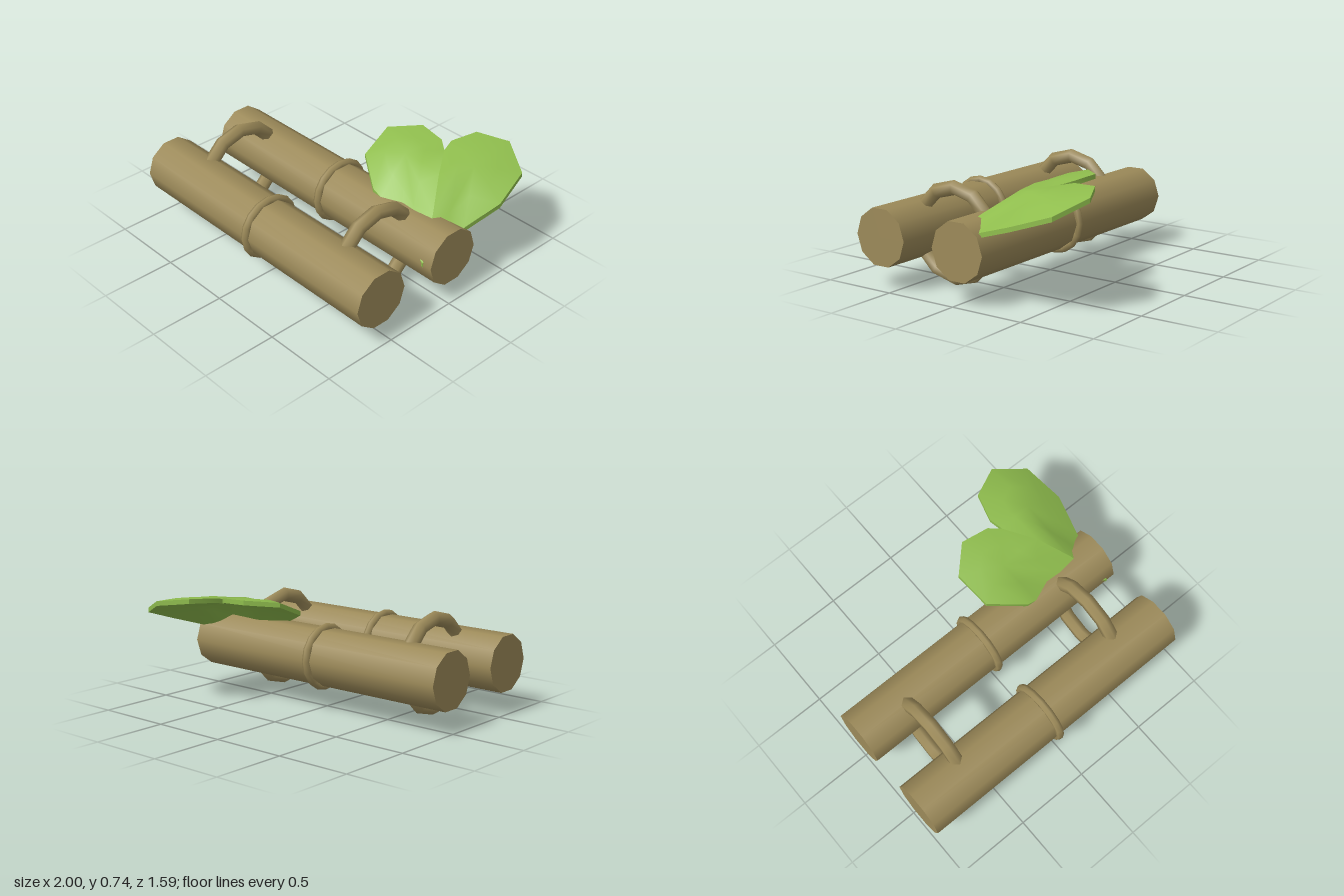
import * as THREE from 'three';
import { toCreasedNormals } from 'three/addons/utils/BufferGeometryUtils.js';

const LOG_Y = 0.345;

// Thin domed leaf: rim points run counter-clockwise seen from above
function leafGeometry(rim, centre) {
  const c = new THREE.Vector3(...centre);
  const edge = rim.map(p => new THREE.Vector3(...p));
  const mid = edge.map(p => {
    const m = p.clone().lerp(c, 0.5);
    m.y += 0.01;
    return m;
  });
  const drop = (p, d) => new THREE.Vector3(p.x, p.y - d, p.z);
  const pos = [];
  const tri = (a, b, d) => [a, b, d].forEach(p => pos.push(p.x, p.y, p.z));
  const n = edge.length;
  const low = edge.map(p => drop(p, 0.03));
  const lowMid = mid.map(p => drop(p, 0.055));
  const lowC = drop(c, 0.06);
  for (let i = 0; i < n; i++) {
    const j = (i + 1) % n;
    // upper side
    tri(c, mid[i], mid[j]);
    tri(mid[i], edge[i], edge[j]);
    tri(mid[i], edge[j], mid[j]);
    // under side
    tri(lowC, lowMid[j], lowMid[i]);
    tri(lowMid[i], low[j], low[i]);
    tri(lowMid[i], lowMid[j], low[j]);
    // rim
    tri(edge[i], low[i], low[j]);
    tri(edge[i], low[j], edge[j]);
  }
  const g = new THREE.BufferGeometry();
  g.setAttribute('position', new THREE.Float32BufferAttribute(pos, 3));
  return toCreasedNormals(g, 0.7);
}

export function createModel() {
  const group = new THREE.Group();
  const wood = new THREE.MeshStandardMaterial({ color: 0x9c8a59 });
  wood.name = 'bamboo tan';
  const green = new THREE.MeshStandardMaterial({ color: 0x8fbd4d });
  green.name = 'leaf green';

  const add = (name, geometry, material, x = 0, y = 0, z = 0) => {
    const mesh = new THREE.Mesh(geometry, material);
    mesh.name = name;
    mesh.position.set(x, y, z);
    group.add(mesh);
  };

  // Two ten-sided poles, each with a joint ring at the middle
  const pole = new THREE.CylinderGeometry(0.19, 0.19, 1.985, 10).rotateZ(Math.PI / 2);
  const joint = new THREE.TorusGeometry(0.193, 0.027, 6, 16).rotateY(Math.PI / 2);
  for (const [side, z] of [['front', 0.575], ['back', -0.025]]) {
    add(side + 'Pole', pole, wood, -0.0075, LOG_Y, z);
    add(side + 'JointRing', joint, wood, -0.01, LOG_Y, z);
  }

  // Loops tying the poles together
  const loop = new THREE.TorusGeometry(0.288, 0.048, 6, 12).rotateY(Math.PI / 2);
  add('rightLoop', loop, wood, -0.645, LOG_Y, 0.275);
  add('leftLoop', loop, wood, 0.63, LOG_Y, 0.275);

  // Pair of leaves joined along a shared seam
  const tip = [0.92, 0.36, 0.168];
  const seamLow = [0.78, 0.545, -0.06];
  const seamHigh = [0.65, 0.685, -0.24];
  const notch = [0.515, 0.715, -0.43];
  add('rightLeaf', leafGeometry([
    tip, seamLow, seamHigh, notch,
    [0.44, 0.735, -0.485], [0.25, 0.748, -0.51], [0.09, 0.73, -0.35],
    [0.125, 0.64, -0.12], [0.35, 0.55, 0.025], [0.42, 0.525, 0.03], [0.65, 0.43, 0.08],
  ], [0.36, 0.70, -0.24]), green);
  add('leftLeaf', leafGeometry([
    tip, [0.94, 0.41, -0.02], [0.945, 0.475, -0.17], [1.0, 0.555, -0.42], [0.945, 0.64, -0.68],
    [0.735, 0.725, -0.795], [0.54, 0.748, -0.70], [0.49, 0.735, -0.52],
    notch, seamHigh, seamLow,
  ], [0.75, 0.695, -0.45]), green);

  return group;
}
